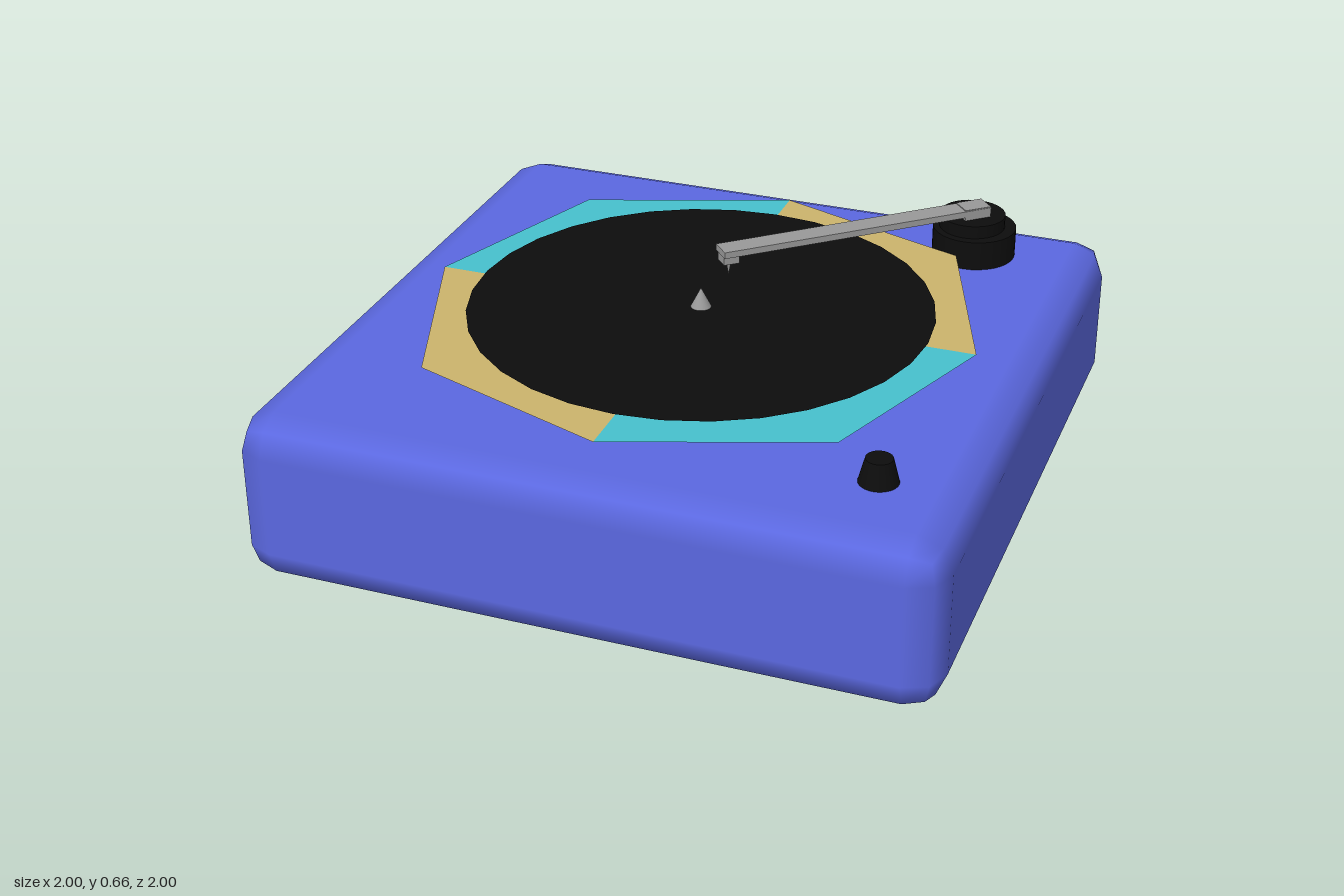
import * as THREE from 'three';
import { RoundedBoxGeometry } from 'three/addons/geometries/RoundedBoxGeometry.js';

export function createModel() {
  const model = new THREE.Group();
  model.name = 'turntable';

  const mat = (color, side = THREE.FrontSide) => new THREE.MeshStandardMaterial({ color, side });
  const blue = mat(0x5b68e0);
  const black = mat(0x0d0d0d);
  const metal = mat(0x999999);
  const teal = mat(0x46c0cd, THREE.DoubleSide);
  const tan = mat(0xcbb36c, THREE.DoubleSide);
  const vinyl = mat(0x0d0d0d, THREE.DoubleSide);

  const add = (name, geometry, material, x, y, z, parent = model) => {
    const mesh = new THREE.Mesh(geometry, material);
    mesh.name = name;
    mesh.position.set(x, y, z);
    parent.add(mesh);
    return mesh;
  };
  const cylinder = (top, bottom, height) => new THREE.CylinderGeometry(top, bottom, height, 32);

  // Soft-edged case
  add('case', new RoundedBoxGeometry(2, 0.5, 2, 1, 0.1), blue, 0, 0.25, 0);

  // Thin eight-cornered mat in four alternating colour quarters
  const quarter = new THREE.Shape([
    new THREE.Vector2(0, 0), new THREE.Vector2(0.82, 0),
    new THREE.Vector2(0.603, 0.603), new THREE.Vector2(0, 0.82),
  ]);
  const quarterGeometry = new THREE.ShapeGeometry(quarter).rotateX(-Math.PI / 2);
  for (let i = 0; i < 4; i++) {
    const part = add('matQuarter' + (i + 1), quarterGeometry, i % 2 ? teal : tan, 0, 0.54, 0);
    part.rotation.y = i * Math.PI / 2;
  }

  // Thin record and pointed spindle
  add('record', new THREE.CircleGeometry(0.68, 32).rotateX(-Math.PI / 2), vinyl, 0, 0.55, 0);
  add('spindle', new THREE.ConeGeometry(0.055, 0.11, 32), metal, 0, 0.555, 0);

  // Control knob
  add('knob', cylinder(0.037, 0.055, 0.07), black, 0.74, 0.535, 0.69);

  // Stepped tonearm base
  add('armBaseLower', cylinder(0.127, 0.127, 0.09), black, 0.625, 0.545, -0.73);
  add('armBaseUpper', cylinder(0.1, 0.1, 0.04), black, 0.617, 0.61, -0.73);

  // Tonearm: local +x runs from the stylus to the pivot
  const arm = new THREE.Group();
  arm.name = 'tonearm';
  const length = 0.874;
  arm.position.set(0, 0, -0.166);
  arm.rotation.y = Math.atan2(0.581, 0.653);
  model.add(arm);
  add('armBar', new THREE.BoxGeometry(length, 0.02, 0.068), metal, length / 2, 0.651, 0, arm);
  add('armPivot', new THREE.BoxGeometry(0.085, 0.034, 0.064), metal, length - 0.043, 0.647, 0, arm);
  add('stylusHead', new THREE.BoxGeometry(0.048, 0.028, 0.048), metal, 0.026, 0.629, 0, arm);
  add('needle', new THREE.ConeGeometry(0.008, 0.045, 12).rotateX(Math.PI), metal, 0.026, 0.593, 0, arm);

  return model;
}
